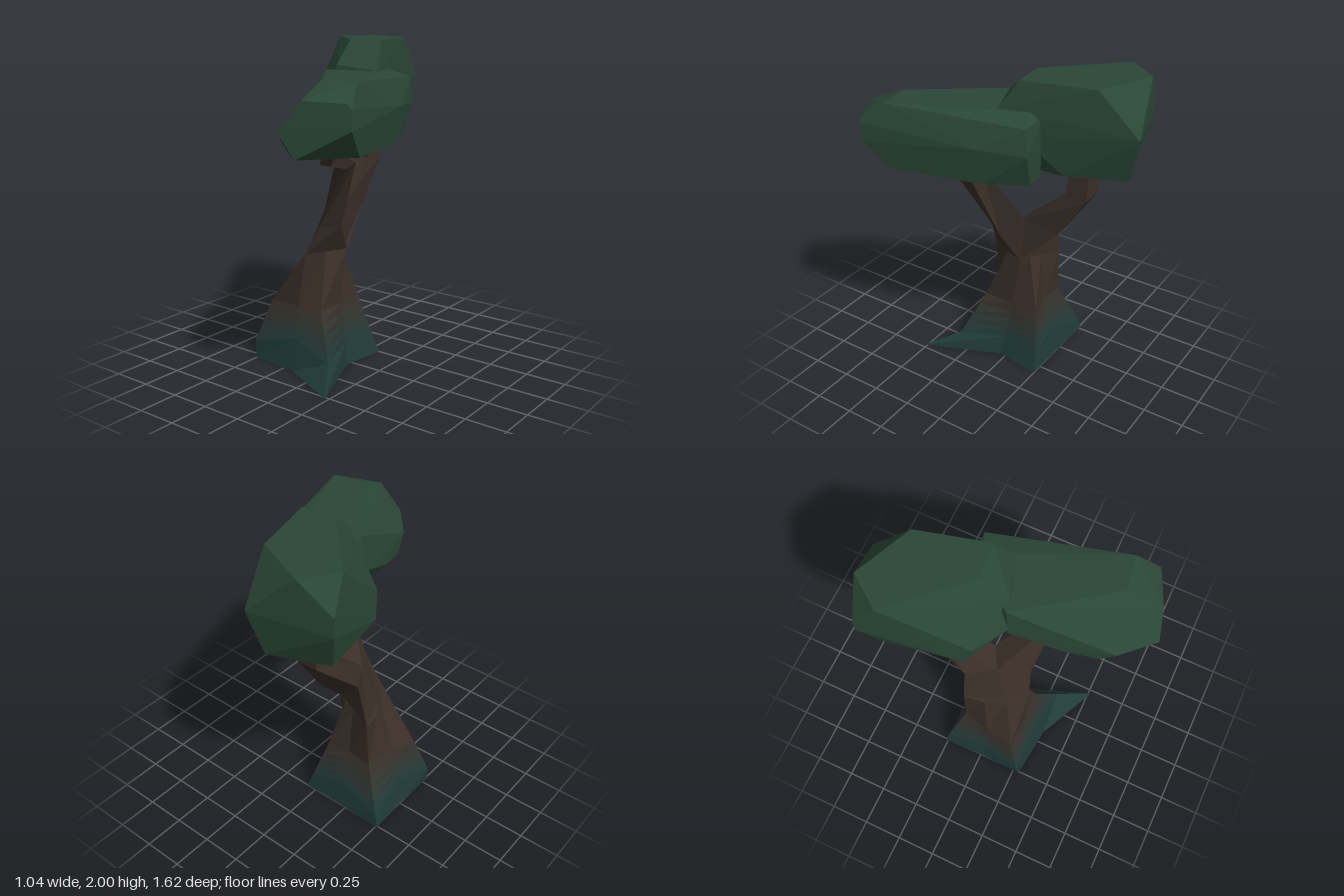
import * as THREE from 'three';
import { ConvexGeometry } from 'three/addons/geometries/ConvexGeometry.js';

const material = (color) => new THREE.MeshStandardMaterial({ color, flatShading: true });

// Joins rings of corners (anticlockwise seen from above) and closes both ends
function loft(name, rings, mat) {
  const n = rings[0].length;
  const index = [];
  for (let r = 0; r < rings.length - 1; r++) {
    for (let i = 0; i < n; i++) {
      const a = r * n + i, b = r * n + (i + 1) % n;
      index.push(a, b, b + n, a, b + n, a + n);
    }
  }
  const end = (rings.length - 1) * n;
  for (let i = 1; i < n - 1; i++) {
    index.push(0, i + 1, i);
    index.push(end, end + i, end + i + 1);
  }
  const indexed = new THREE.BufferGeometry();
  indexed.setAttribute('position', new THREE.Float32BufferAttribute(rings.flat(2), 3));
  indexed.setIndex(index);
  const geometry = indexed.toNonIndexed();
  geometry.computeVertexNormals();
  const mesh = new THREE.Mesh(geometry, mat);
  mesh.name = name;
  return mesh;
}

// Faceted clump of leaves around its corner points
function clump(name, points, mat) {
  const mesh = new THREE.Mesh(new ConvexGeometry(points.map((p) => new THREE.Vector3(...p))), mat);
  mesh.name = name;
  return mesh;
}

// Ring part of the way between two rings
const between = (a, b, t) => a.map((p, i) => p.map((v, k) => v + (b[i][k] - v) * t));

export function createModel() {
  const tree = new THREE.Group();
  tree.name = 'tree';
  const mossColor = new THREE.Color(0x1f3b39);
  const barkColor = new THREE.Color(0x3a2f28);
  const bark = material(barkColor);
  const leaves = material(0x2a4736);

  // Rings run: front, front root, right hollow, back right, back, back left, left, front left
  const ground = [[-0.17, 0, 0.33], [0.23, 0, 0.52], [0.03, 0, 0.04], [0.07, 0, -0.25],
    [-0.2, 0, -0.25], [-0.51, 0, -0.26], [-0.5, 0, 0.02], [-0.51, 0, 0.29]];
  const flare = [[-0.19, 0.19, 0.28], [0.09, 0.11, 0.31], [0, 0.13, 0.02], [0.03, 0.12, -0.23],
    [-0.2, 0.17, -0.22], [-0.49, 0.09, -0.25], [-0.47, 0.17, 0.02], [-0.52, 0.11, 0.28]];
  const waist = [[-0.22, 0.38, 0.21], [-0.05, 0.38, 0.2], [-0.05, 0.38, 0], [-0.05, 0.38, -0.18],
    [-0.2, 0.39, -0.15], [-0.36, 0.38, -0.16], [-0.41, 0.38, 0.02], [-0.44, 0.38, 0.2]];
  // The trunk twists towards the fork
  const front = [-0.17, 0.72, 0.2], right = [-0.05, 0.72, -0.06];
  const left = [-0.345, 0.69, -0.17], frontLeft = [-0.26, 0.66, 0.09];
  const fork = [front, [-0.11, 0.72, 0.07], right, [-0.12, 0.72, -0.09],
    [-0.2, 0.71, -0.12], left, [-0.32, 0.67, -0.04], frontLeft];

  tree.add(loft('roots', [ground, flare], material(mossColor)));
  // Moss fades into bark in bands
  const bands = 4;
  for (let i = 0; i < bands; i++) {
    const color = mossColor.clone().lerp(barkColor, (i + 0.5) / bands);
    tree.add(loft('mossBand', [between(flare, waist, i / bands), between(flare, waist, (i + 1) / bands)], material(color)));
  }
  tree.add(loft('trunk', [waist, fork], bark));

  // Both branches meet at these two corners
  const crotch = [-0.06, 1.03, -0.08], split = [-0.18, 0.97, -0.01];

  // Front branch, bending forward at its tip
  tree.add(loft('frontBranch', [
    [frontLeft, front, right, [-0.19, 0.7, -0.08]],
    [split, [-0.08, 0.9, 0.17], [0, 0.9, 0.06], crotch],
    [[0.08, 1.35, 0.21], [0.16, 1.29, 0.22], [0.17, 1.32, 0.14], [0.08, 1.38, 0.13]],
    [[0.1, 1.33, 0.38], [0.17, 1.33, 0.38], [0.18, 1.4, 0.31], [0.1, 1.4, 0.31]],
    [[0.14, 1.48, 0.43], [0.25, 1.46, 0.43], [0.26, 1.5, 0.36], [0.15, 1.5, 0.36]],
  ], bark));

  // Back branch, turning upright
  tree.add(loft('backBranch', [
    [frontLeft, [-0.06, 0.72, -0.04], right, left],
    [split, crotch, [-0.1, 0.97, -0.3], [-0.285, 0.97, -0.18]],
    [[-0.225, 1.25, -0.35], [-0.09, 1.25, -0.34], [-0.09, 1.25, -0.48], [-0.225, 1.25, -0.48]],
    [[-0.21, 1.55, -0.38], [-0.11, 1.55, -0.38], [-0.11, 1.55, -0.49], [-0.21, 1.55, -0.49]],
  ], bark));

  // Back foliage: top, rim, underside
  tree.add(clump('backFoliage', [
    [-0.46, 2, -0.54], [-0.32, 2, -0.73], [0.02, 2, -0.58], [0.13, 2, -0.16], [-0.08, 2, -0.14],
    [0.18, 1.83, -0.05], [-0.06, 1.86, 0.02], [-0.15, 1.65, 0.05], [-0.33, 1.61, -0.08],
    [-0.51, 1.82, -0.67], [-0.51, 1.7, -0.67], [-0.04, 1.74, -0.81], [0.14, 1.68, -0.16],
    [-0.44, 1.455, -0.6], [-0.1, 1.455, -0.74], [-0.36, 1.455, -0.13], [-0.13, 1.455, -0.05], [0.04, 1.455, -0.4], [0.05, 1.455, -0.25],
  ], leaves));

  // Front foliage: top, rim, underside
  tree.add(clump('frontFoliage', [
    [-0.13, 1.83, 0.03], [0.25, 1.83, 0.55], [0.46, 1.83, 0.52], [0.13, 1.83, -0.23],
    [0.28, 1.74, 0.76], [0.5, 1.73, 0.66], [0.52, 1.7, 0.65], [0.52, 1.59, 0.65], [0.16, 1.57, 0.81], [0, 1.54, 0.63],
    [0.26, 1.79, -0.28], [0.27, 1.63, -0.3], [0.08, 1.79, -0.28], [0.08, 1.63, -0.28], [0.37, 1.65, -0.03],
    [-0.15, 1.6, 0.05], [-0.1, 1.53, -0.12], [-0.08, 1.48, 0.34],
    [0.24, 1.43, 0.77], [0.46, 1.43, 0.5], [-0.02, 1.43, 0.54], [0.2, 1.43, -0.28], [0.08, 1.43, -0.27], [-0.04, 1.43, 0.15], [0.33, 1.43, -0.05],
  ], leaves));

  return tree;
}
